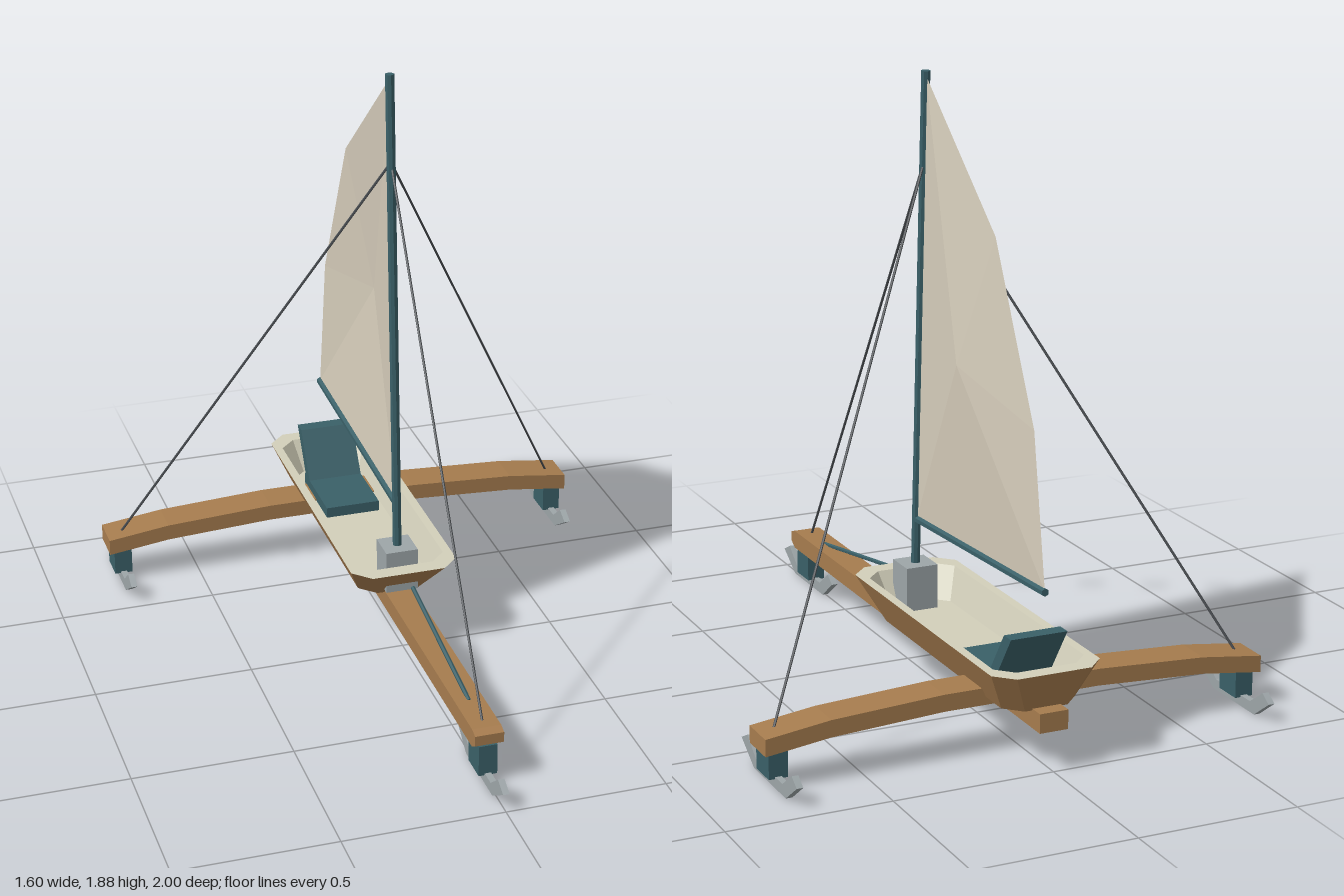
import * as THREE from 'three';

const mat = (name, color) => {
  const m = new THREE.MeshStandardMaterial({ color, flatShading: true });
  m.name = name;
  return m;
};

export function createModel() {
  const wood = mat('wood', 0xa67c4e);
  const cream = mat('creamDeck', 0xd2cfba);
  const canvas = mat('sailCloth', 0xd6cdbb);
  canvas.side = THREE.DoubleSide;
  const teal = mat('tealPaint', 0x3a6068);
  const steel = mat('steel', 0x9da5a8);
  const cable = mat('cable', 0x4c5054);

  const model = new THREE.Group();
  model.name = 'iceYacht';
  const add = (name, geometry, material, x = 0, y = 0, z = 0, parent = model) => {
    const mesh = new THREE.Mesh(geometry, material);
    mesh.name = name;
    mesh.position.set(x, y, z);
    parent.add(mesh);
    return mesh;
  };
  const V = (x, y, z) => new THREE.Vector3(x, y, z);
  const extrude = (points, depth) => new THREE.ExtrudeGeometry(
    new THREE.Shape(points.map(([a, b]) => new THREE.Vector2(a, b))),
    { depth, bevelEnabled: false }).translate(0, 0, -depth / 2);
  // side profile given as [z, y], extruded across x
  const sideExtrude = (points, width) => extrude(points, width).rotateY(-Math.PI / 2);
  // straight round bar between two points
  const bar = (name, a, b, radius, material, sides = 6) => {
    const dir = b.clone().sub(a);
    const mesh = add(name, new THREE.CylinderGeometry(radius, radius, dir.length(), sides), material);
    mesh.position.copy(a).add(b).multiplyScalar(0.5);
    mesh.quaternion.setFromUnitVectors(V(0, 1, 0), dir.normalize());
    return mesh;
  };

  // chamfered rectangle ring, counterclockwise from above
  const ring = (w, z0, z1, c, y) => [
    [-w + c, z1], [w - c, z1], [w, z1 - c], [w, z0 + c],
    [w - c, z0], [-w + c, z0], [-w, z0 + c], [-w, z1 - c],
  ].map(([x, z]) => [x, y, z]);
  // skin a stack of rings, optionally closing the first or last one
  const loft = (rings, capFirst, capLast) => {
    const p = [];
    const n = rings[0].length;
    for (let r = 0; r < rings.length - 1; r++) {
      for (let i = 0; i < n; i++) {
        const j = (i + 1) % n;
        const [a, b, c, d] = [rings[r][i], rings[r][j], rings[r + 1][j], rings[r + 1][i]];
        p.push(...a, ...b, ...c, ...a, ...c, ...d);
      }
    }
    const first = rings[0], last = rings[rings.length - 1];
    for (let i = 1; i < n - 1; i++) {
      if (capFirst) p.push(...first[0], ...first[i + 1], ...first[i]);
      if (capLast) p.push(...last[0], ...last[i], ...last[i + 1]);
    }
    const g = new THREE.BufferGeometry();
    g.setAttribute('position', new THREE.Float32BufferAttribute(p, 3));
    g.computeVertexNormals();
    return g;
  };

  // hull shell, then rim and cockpit lining
  const rim = ring(0.173, -1, 0.068, 0.055, 0.3);
  add('hull', loft([ring(0.118, -0.95, -0.05, 0.05, 0.178), rim], true, false), wood);
  add('cockpit', loft([rim, ring(0.145, -0.95, 0.015, 0.05, 0.3),
    ring(0.112, -0.9, -0.035, 0.04, 0.2)], false, true), cream);

  // spine beam with a slightly cut nose
  add('spine', sideExtrude([[-1, 0.125], [0.82, 0.125], [0.848, 0.142],
    [0.848, 0.175], [0.82, 0.184], [-1, 0.184]], 0.09), wood);

  // arched cross plank
  const arch = [[-0.8, 0.16], [-0.6, 0.186], [-0.25, 0.205], [0.25, 0.205], [0.6, 0.186], [0.8, 0.16]];
  const under = arch.map(([x, y]) => [x, y - 0.052]).reverse();
  add('crossPlank', extrude([...under, ...arch], 0.12), wood, 0, 0, -0.74);

  // three runners, each with its post
  const blade = [[0.115, 0.002], [0.21, 0.062], [0.163, 0.086], [0.1, 0.036],
    [-0.1, 0.036], [-0.17, 0.086], [-0.206, 0.062], [-0.125, 0.002]];
  for (const [name, x, z, top] of [['frontRunner', 0, 0.79, 0.13],
    ['leftRunner', 0.755, -0.735, 0.116], ['rightRunner', -0.755, -0.735, 0.116]]) {
    const runner = new THREE.Group();
    runner.name = name;
    runner.position.set(x, 0, z);
    model.add(runner);
    add('blade', sideExtrude(blade, 0.02), steel, 0, 0, 0, runner);
    add('post', new THREE.BoxGeometry(0.058, top - 0.03, 0.094), teal, 0, (top + 0.03) / 2, 0, runner);
  }

  // seat with reclined back
  add('seatCushion', new THREE.BoxGeometry(0.18, 0.035, 0.27), teal, 0, 0.2175, -0.685);
  add('seatBack', sideExtrude([[-0.737, 0.2], [-0.857, 0.38], [-0.902, 0.38], [-0.782, 0.2]], 0.18), teal);

  // mast step, mast and boom
  add('mastStep', new THREE.BoxGeometry(0.104, 0.14, 0.104), steel, 0, 0.27, -0.057);
  bar('mast', V(0, 0.33, -0.057), V(0, 1.885, -0.128), 0.0145, teal, 8);
  bar('boom', V(0, 0.483, -0.066), V(0, 0.52, -0.935), 0.012, teal);

  // bellied sail fanned around its fullest point
  const edge = [[0.487, -0.07], [1.87, -0.13], [1.48, -0.6], [0.975, -0.855], [0.522, -0.932]];
  const sail = [];
  edge.forEach(([y, z], i) => {
    const [y2, z2] = edge[(i + 1) % edge.length];
    sail.push(0.04, 1.065, -0.43, 0, y2, z2, 0, y, z);
  });
  const sailGeo = new THREE.BufferGeometry();
  sailGeo.setAttribute('position', new THREE.Float32BufferAttribute(sail, 3));
  sailGeo.computeVertexNormals();
  add('sail', sailGeo, canvas);

  // standing rigging
  const head = V(0, 1.61, -0.116);
  bar('forestay', V(0, 0.18, 0.78), head, 0.004, cable);
  bar('leftShroud', V(0.75, 0.16, -0.735), head, 0.004, cable);
  bar('rightShroud', V(-0.75, 0.16, -0.735), head, 0.004, cable);

  // steering rod above the spine
  bar('steeringRod', V(0, 0.18, 0.66), V(0, 0.27, 0.107), 0.007, teal);

  return model;
}
